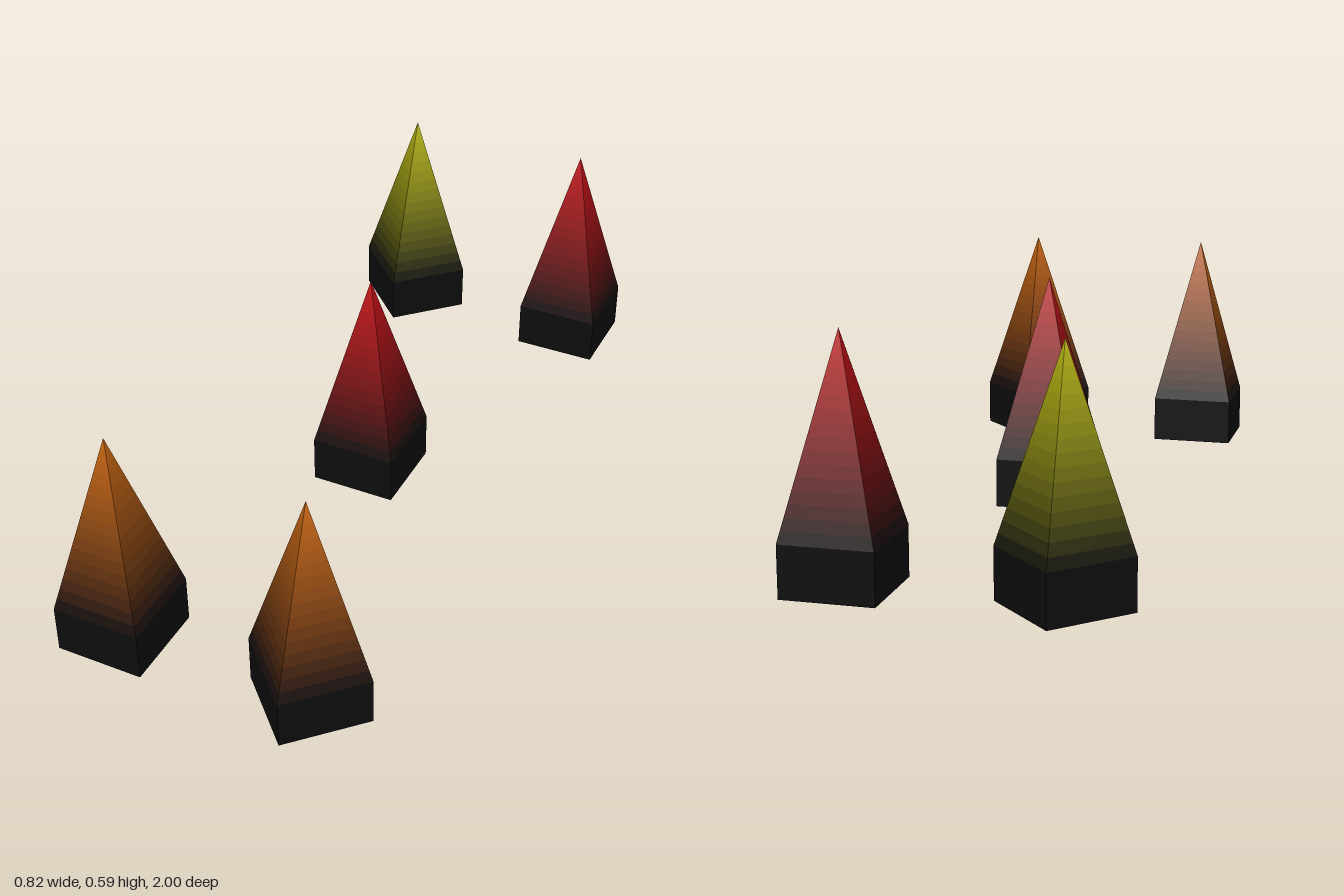
import * as THREE from 'three';

const RADIUS = 0.159;      // half diagonal of the square plan
const BASE_H = 0.125;
const TOP = 0.588;
const BANDS = 16;

const makeMaterial = (color) => new THREE.MeshStandardMaterial({ color, flatShading: true });

// One four-sided tower: dark plinth and a spire that brightens towards its tip
function createTower(name, tipColor, x, z, turn) {
  const tower = new THREE.Group();
  tower.name = name;
  const dark = new THREE.Color(0x0d0d0d);
  const tip = new THREE.Color(tipColor);

  const base = new THREE.Mesh(
    new THREE.CylinderGeometry(RADIUS, RADIUS, BASE_H, 4), makeMaterial(dark));
  base.name = 'base';
  base.position.y = BASE_H / 2;
  tower.add(base);

  // Spire built from thin bands, each a step brighter than the one below
  const spire = new THREE.Group();
  spire.name = 'spire';
  const h = (TOP - BASE_H) / BANDS;
  for (let i = 0; i < BANDS; i++) {
    const shade = dark.clone().lerp(tip, Math.pow((i + 0.5) / BANDS, 1.3));
    const band = new THREE.Mesh(
      new THREE.CylinderGeometry(
        RADIUS * (1 - (i + 1) / BANDS), RADIUS * (1 - i / BANDS), h, 4, 1, true),
      makeMaterial(shade));
    band.name = 'spireBand';
    band.position.y = BASE_H + (i + 0.5) * h;
    spire.add(band);
  }
  tower.add(spire);

  tower.position.set(x, 0, z);
  tower.rotation.y = turn;
  return tower;
}

export function createModel() {
  const model = new THREE.Group();
  model.name = 'towers';
  const red = 0xc41016, orange = 0xc46410, yellow = 0xb4b410;
  const square = Math.PI / 4, diamond = 0;
  const X = 0.252, Z = 0.841;

  model.add(
    createTower('centreTower', red, 0, 0, square),
    createTower('frontLeftTower', orange, X, Z, diamond),
    createTower('frontRightTower', orange, -X, Z, square),
    createTower('backLeftTower', red, X, -Z, square),
    createTower('backRightTower', yellow, -X, -Z, diamond));
  return model;
}
